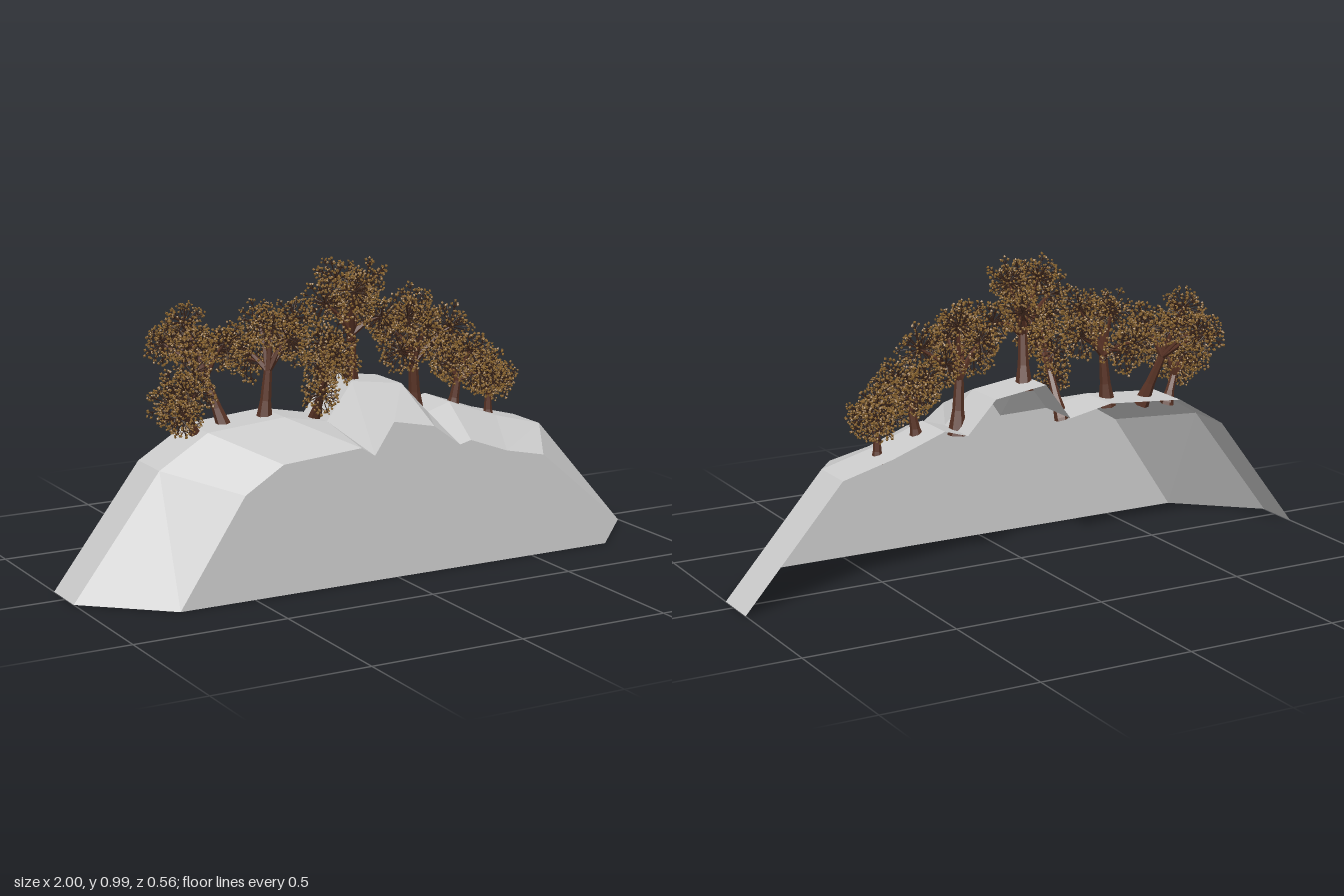
import * as THREE from 'three';
import { mergeGeometries } from 'three/addons/utils/BufferGeometryUtils.js';

const V = (x, y, z) => new THREE.Vector3(x, y, z);
const UP = V(0, 1, 0);

// small seeded generator
function seeded(s) {
  return () => {
    s = (s * 1664525 + 1013904223) >>> 0;
    return s / 4294967296;
  };
}

// ridge line of the rock, at its front face and at its wider rear part
const FRONT = [[-0.75, 0], [-0.53, 0.33], [-0.4, 0.41], [-0.13, 0.43], [-0.083, 0.4], [-0.015, 0.5],
  [0.13, 0.47], [0.225, 0.4], [0.265, 0.41], [0.4, 0.36], [0.54, 0.33], [0.79, 0]];
const REAR = [[-1, 0], [-0.71, 0.38], [-0.545, 0.48], [-0.28, 0.5], [-0.13, 0.47], [-0.04, 0.59],
  [0.14, 0.565], [0.24, 0.46], [0.32, 0.485], [0.5, 0.42], [0.67, 0.375], [1, 0]];
const Z = { front: 0.288, mid: 0.065, back: -0.09 };

// trees: x of the foot, spread of the crown, and three points the crown follows
const TREES = [
  { foot: -0.55, spread: 0.04, crown: [V(-0.66, 0.54, 0.06), V(-0.63, 0.6, 0.05), V(-0.56, 0.63, 0.01)] },
  { foot: -0.45, spread: 0.05, crown: [V(-0.56, 0.7, -0.19), V(-0.53, 0.76, -0.1), V(-0.43, 0.7, 0)] },
  { foot: -0.32, spread: 0.06, crown: [V(-0.34, 0.66, -0.1), V(-0.29, 0.78, 0), V(-0.19, 0.74, 0.01)] },
  { foot: -0.15, spread: 0.04, crown: [V(-0.18, 0.74, 0.19), V(-0.16, 0.7, 0.16), V(-0.16, 0.59, 0.08)] },
  { foot: -0.01, spread: 0.065, crown: [V(-0.12, 0.88, 0.09), V(-0.03, 0.88, 0.05), V(0.06, 0.8, 0)] },
  { foot: 0.23, spread: 0.07, crown: [V(0.12, 0.72, 0.07), V(0.2, 0.76, 0.03), V(0.32, 0.7, -0.01)] },
  { foot: 0.37, spread: 0.05, crown: [V(0.34, 0.61, -0.03), V(0.4, 0.62, 0.01), V(0.45, 0.57, 0.03)] },
  { foot: 0.51, spread: 0.035, crown: [V(0.47, 0.54, 0.03), V(0.51, 0.55, 0), V(0.54, 0.52, 0)] },
];
const LOBES = 7;

// height of the rock's rear ridge at x
function groundAt(x) {
  const i = REAR.findIndex(p => p[0] > x), [a, b] = [REAR[i - 1], REAR[i]];
  return THREE.MathUtils.mapLinear(x, a[0], b[0], a[1], b[1]);
}

// tapered branch between two points
function limb(a, b, ra, rb, sides = 5) {
  const d = b.clone().sub(a), len = d.length();
  const g = new THREE.CylinderGeometry(rb, ra, len, sides, 1, true).toNonIndexed();
  g.translate(0, len / 2, 0);
  g.applyQuaternion(new THREE.Quaternion().setFromUnitVectors(UP, d.normalize()));
  return g.translate(a.x, a.y, a.z);
}

// one sprig pointing up: a stem with four twigs, each ending in a leaf
function sprigParts() {
  const wood = [limb(V(0, -0.016, 0), V(0, 0.01, 0), 0.002, 0.0015, 3)], leaves = [];
  for (let i = 0; i < 4; i++) {
    const a = i * 1.75, w = i === 3 ? 0.003 : 0.011, h = i === 3 ? 0.025 : 0.017;
    const tip = V(Math.cos(a) * w, h, Math.sin(a) * w);
    wood.push(limb(V(0, 0.006, 0), tip, 0.0014, 0.001, 3));
    const leaf = new THREE.OctahedronGeometry(0.0048);
    leaf.rotateX(a).rotateZ(a * 2);
    leaves.push(leaf.translate(tip.x, tip.y, tip.z));
  }
  return { wood: mergeGeometries(wood), leaves: mergeGeometries(leaves) };
}

function rock(material) {
  const hill = new THREE.Group();
  hill.name = 'rock';
  const face = new THREE.Mesh(new THREE.ShapeGeometry(
    new THREE.Shape(FRONT.map(p => new THREE.Vector2(...p)))), material);
  face.position.z = Z.front;
  face.name = 'rockFrontFace';

  // open shell: sloping band, then a straight band to the rear edge
  const rings = [[FRONT, Z.front], [REAR, Z.mid], [REAR, Z.back]];
  const pos = [];
  for (let k = 0; k < 2; k++) {
    const [A, za] = rings[k], [B, zb] = rings[k + 1];
    for (let i = 0; i < A.length - 1; i++) {
      const a = [...A[i], za], b = [...A[i + 1], za], c = [...B[i + 1], zb], d = [...B[i], zb];
      pos.push(...a, ...b, ...c, ...a, ...c, ...d);
    }
  }
  const g = new THREE.BufferGeometry();
  g.setAttribute('position', new THREE.Float32BufferAttribute(pos, 3));
  g.computeVertexNormals();
  const shell = new THREE.Mesh(g, material);
  shell.name = 'rockSlopes';
  hill.add(face, shell);
  return hill;
}

function tree({ foot, spread, crown }, index, sprig, mats) {
  const rnd = seeded(index * 977 + 13);
  const r = 0.014 + 0.25 * spread;
  const base = V(foot, groundAt(foot) - 0.03, 0);
  const fork = base.clone().lerp(crown[1], 0.55);
  const knee = base.clone().lerp(fork, 0.45);
  // trunk with a flared foot
  const trunk = [limb(base, knee, r, r * 0.6, 6), limb(knee, fork, r * 0.6, r * 0.45, 6)];
  const twigs = [], leaves = [];
  const path = new THREE.CatmullRomCurve3(crown);
  const size = 0.04 + 0.25 * spread;
  // foliage lobes wind around the crown's path
  for (let k = 0; k < LOBES; k++) {
    const turn = k * 2.4 + index;
    const c = path.getPoint(k / (LOBES - 1))
      .add(V(Math.cos(turn) * 0.5, Math.sin(turn), Math.cos(turn)).multiplyScalar(spread * 0.7));
    const bend = fork.clone().lerp(c, 0.5).add(V(0, 0.012, 0));
    trunk.push(limb(fork, bend, r * 0.4, r * 0.24), limb(bend, c, r * 0.24, r * 0.14));
    const n = Math.round(size * size * 12500);
    for (let i = 0; i < n; i++) {
      // directions spread over a sphere, depth biased to the outside
      const h = 1 - 2 * (i + 0.5) / n, a = i * 2.4 + rnd(), s = Math.sqrt(1 - h * h);
      const dir = V(s * Math.cos(a), h, s * Math.sin(a));
      const p = c.clone().addScaledVector(dir, size * (0.45 + 0.55 * rnd()));
      if (i % 2 === 0) twigs.push(limb(c, p, 0.003, 0.0015, 3));
      const m = new THREE.Matrix4().compose(p,
        new THREE.Quaternion().setFromUnitVectors(UP, dir)
          .multiply(new THREE.Quaternion().setFromAxisAngle(UP, rnd() * 6.28)),
        V(1, 1, 1).multiplyScalar(0.85 + 0.4 * rnd()));
      twigs.push(sprig.wood.clone().applyMatrix4(m));
      leaves.push(sprig.leaves.clone().applyMatrix4(m));
    }
  }
  const group = new THREE.Group();
  group.name = 'tree' + (index + 1);
  [['trunk', trunk], ['twigs', twigs], ['leaves', leaves]].forEach(([name, parts]) => {
    const mesh = new THREE.Mesh(mergeGeometries(parts), mats[name]);
    mesh.name = name;
    group.add(mesh);
  });
  return group;
}

export function createModel() {
  const model = new THREE.Group();
  model.name = 'treesOnRock';
  const paint = (color, extra) => new THREE.MeshStandardMaterial({ color, ...extra });
  const mats = {
    trunk: paint(0x5a3426, { side: THREE.DoubleSide, flatShading: true }),
    twigs: paint(0x3a241a),
    leaves: paint(0x8a6530, { flatShading: true }),
  };
  model.add(rock(paint(0xcccccc, { side: THREE.DoubleSide, flatShading: true })));
  const sprig = sprigParts();
  TREES.forEach((spec, i) => model.add(tree(spec, i, sprig, mats)));
  return model;
}
